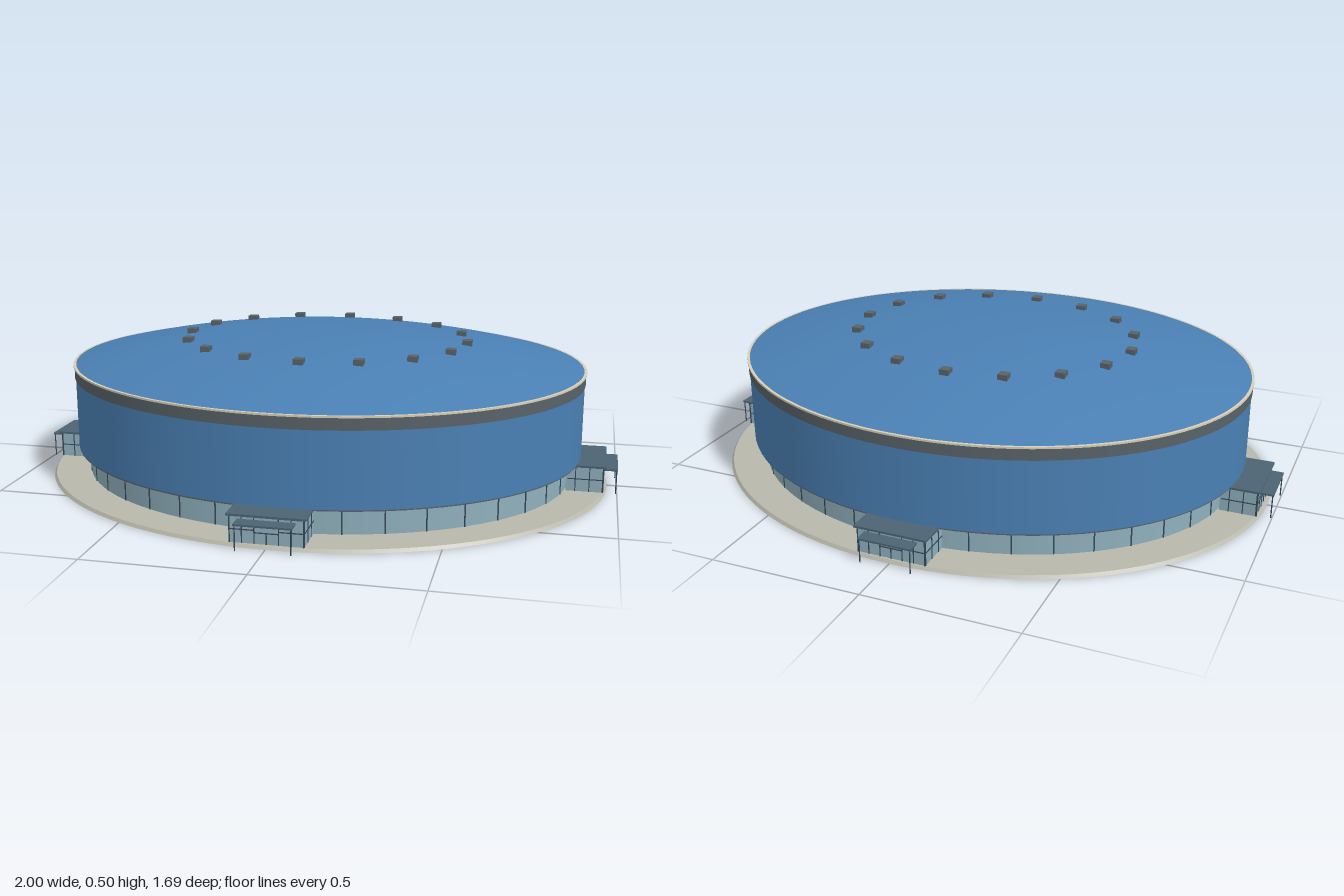
import * as THREE from 'three';

const mat = (name, color, side = THREE.FrontSide) => {
  const m = new THREE.MeshStandardMaterial({ color, side });
  m.name = name;
  return m;
};

export function createModel() {
  const blue = mat('blue cladding', 0x4a80b4);
  const glass = mat('glazing', 0x8fb0bc);
  const slate = mat('slate canopy', 0x4c6474);
  const grey = mat('grey metal', 0x586268);
  const dark = mat('dark frame', 0x34485a);
  const paving = mat('paving', 0xb8b8ab);
  const cream = mat('cream trim', 0xd6cfb8);

  const model = new THREE.Group();
  model.name = 'arena';

  const add = (parent, name, geo, material, x = 0, y = 0, z = 0) => {
    const m = new THREE.Mesh(geo, material);
    m.name = name;
    m.position.set(x, y, z);
    parent.add(m);
    return m;
  };
  const box = (parent, name, material, w, h, d, x, y, z) =>
    add(parent, name, new THREE.BoxGeometry(w, h, d), material, x, y, z);

  // Elliptical drum from y0 to y1
  const drum = (name, material, rx, rz, y0, y1, open = false, taper = 1) => {
    const g = new THREE.CylinderGeometry(taper, 1, y1 - y0, 96, 1, open);
    g.scale(rx, 1, rz);
    return add(model, name, g, material, 0, (y0 + y1) / 2, 0);
  };

  drum('plinth', paving, 0.968, 0.815, 0, 0.01, false, 0.992);
  drum('groundFloorGlazing', glass, 0.84, 0.69, 0.01, 0.1, true);
  drum('soffit', grey, 0.876, 0.727, 0.095, 0.1);
  drum('upperWall', blue, 0.878, 0.729, 0.1, 0.345, true);
  drum('eavesBand', grey, 0.881, 0.732, 0.343, 0.381);
  drum('eavesTrim', cream, 0.884, 0.735, 0.381, 0.387);

  // Shallow domed roof
  const roofY = (t) => 0.387 + 0.108 * (1 - t * t);
  const profile = [];
  for (let i = 24; i >= 0; i--) profile.push(new THREE.Vector2(i / 24, roofY(i / 24)));
  const roof = new THREE.LatheGeometry(profile, 96);
  roof.scale(0.875, 1, 0.726);
  add(model, 'domedRoof', roof, blue);

  // Ring of roof vents
  for (let i = 0; i < 16; i++) {
    const a = (i / 16) * Math.PI * 2;
    box(model, 'roofVent', grey, 0.032, 0.024, 0.032, 0.485 * Math.cos(a), 0.466, 0.4 * Math.sin(a));
  }

  // Mullions around the ground floor
  for (let i = 0; i < 40; i++) {
    const a = ((i + 0.5) / 40) * Math.PI * 2;
    const m = box(model, 'mullion', dark, 0.004, 0.086, 0.004, 0.84 * Math.sin(a), 0.053, 0.69 * Math.cos(a));
    m.rotation.y = Math.atan2(Math.sin(a) / 0.84, Math.cos(a) / 0.69);
  }

  // Entrance pavilion, facing +z, with its glass front at z = 0
  const entrance = (name) => {
    const g = new THREE.Group();
    g.name = name;
    box(g, 'lobbyGlass', glass, 0.226, 0.084, 0.12, 0, 0.052, -0.06);
    box(g, 'lobbyRoof', slate, 0.242, 0.007, 0.13, 0, 0.097, -0.057);
    box(g, 'porchCanopy', slate, 0.176, 0.006, 0.05, 0, 0.081, 0.021);
    for (const s of [-1, 1]) {
      add(g, 'porchPost', new THREE.CylinderGeometry(0.002, 0.002, 0.08, 8), dark, s * 0.084, 0.04, 0.042);
      // Side window frames
      for (const z of [-0.002, -0.045, -0.09]) {
        box(g, 'sideMullion', dark, 0.004, 0.084, 0.003, s * 0.113, 0.052, z);
      }
      box(g, 'sideTransom', dark, 0.004, 0.003, 0.115, s * 0.113, 0.052, -0.058);
    }
    // Front window frames
    for (const x of [-0.112, -0.075, -0.037, 0.037, 0.075, 0.112]) {
      box(g, 'frontMullion', dark, 0.003, 0.084, 0.004, x, 0.052, 0);
    }
    for (const s of [-1, 1]) {
      box(g, 'frontTransom', dark, 0.075, 0.003, 0.004, s * 0.075, 0.052, 0);
    }
    // Double doors
    box(g, 'doorHead', dark, 0.074, 0.003, 0.005, 0, 0.045, 0);
    box(g, 'doorMeeting', dark, 0.003, 0.036, 0.005, 0, 0.028, 0);
    model.add(g);
    return g;
  };

  ['frontEntrance', 'leftEntrance', 'backEntrance', 'rightEntrance'].forEach((name, i) => {
    const g = entrance(name);
    const a = (i * Math.PI) / 2;
    const r = i % 2 ? 0.954 : 0.8;
    g.position.set(Math.sin(a) * r, 0, Math.cos(a) * r);
    g.rotation.y = a;
  });

  return model;
}
